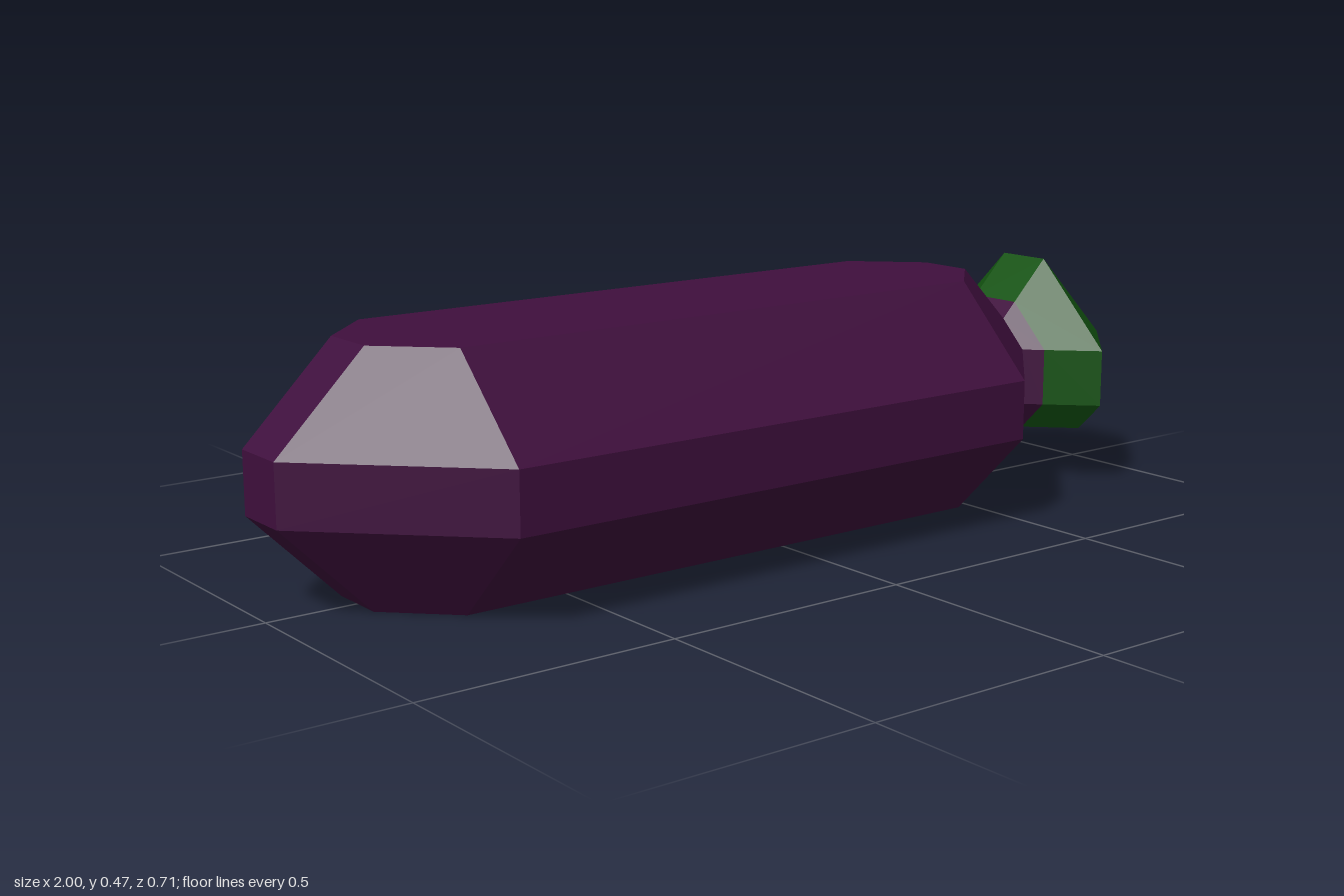
import * as THREE from 'three';

// Skin a stack of equal-length rings (counter-clockwise about the stacking axis), with flat end caps
function loft(rings) {
  const pos = [];
  const tri = (...pts) => pts.forEach((p) => pos.push(...p));
  const n = rings[0].length;
  for (let r = 0; r < rings.length - 1; r++) {
    const a = rings[r], b = rings[r + 1];
    for (let i = 0; i < n; i++) {
      const j = (i + 1) % n;
      tri(a[i], a[j], b[j]);
      tri(a[i], b[j], b[i]);
    }
  }
  const first = rings[0], last = rings[rings.length - 1];
  for (let i = 1; i < n - 1; i++) {
    tri(first[0], first[i + 1], first[i]);
    tri(last[0], last[i], last[i + 1]);
  }
  const geo = new THREE.BufferGeometry();
  geo.setAttribute('position', new THREE.Float32BufferAttribute(pos, 3));
  geo.computeVertexNormals();
  return geo;
}

const U = 1 / 17; // facet module: every corner lies on this step

// Horizontal outline with chamfered corners, in module steps
function bodyRing(y, halfX, halfZ, chamfer) {
  const cx = -2, ix = halfX - chamfer, iz = halfZ - chamfer;
  return [
    [halfX, iz], [halfX, -iz], [ix, -halfZ], [-ix, -halfZ],
    [-halfX, -iz], [-halfX, iz], [-ix, halfZ], [ix, halfZ],
  ].map(([x, z]) => [(cx + x) * U, y * U, z * U]);
}

// Upright slice through the stem cap at d steps from its ridge
function stemRing(d) {
  const a = Math.abs(d);
  const half = [
    [8 - a, 1], [5, 4 - a], [3, 4 - a],
    [2 + Math.max(0, a - 2), Math.max(1, 3 - a)],
  ];
  const mirrored = half.map(([y, z]) => [y, -z]).reverse();
  return [...half, ...mirrored].map(([y, z]) => [(14 + d) * U, y * U, z * U]);
}

export function createModel() {
  const group = new THREE.Group();
  const purple = new THREE.MeshStandardMaterial({ color: 0x3f0f3d, flatShading: true });
  const green = new THREE.MeshStandardMaterial({ color: 0x125210, flatShading: true });
  const add = (name, rings, material) => {
    const mesh = new THREE.Mesh(loft(rings), material);
    mesh.name = name;
    group.add(mesh);
  };

  // Long faceted fruit
  add('body', [
    bodyRing(0, 12, 3, 2),
    bodyRing(3, 15, 6, 5),
    bodyRing(5, 15, 6, 5),
    bodyRing(8, 12, 3, 2),
  ], purple);

  // Purple neck that runs into the green cap along the same facets
  const split = -1.45;
  add('neck', [-3, -2, split].map(stemRing), purple);
  add('stemCap', [split, 0, 2, 3].map(stemRing), green);

  return group;
}
